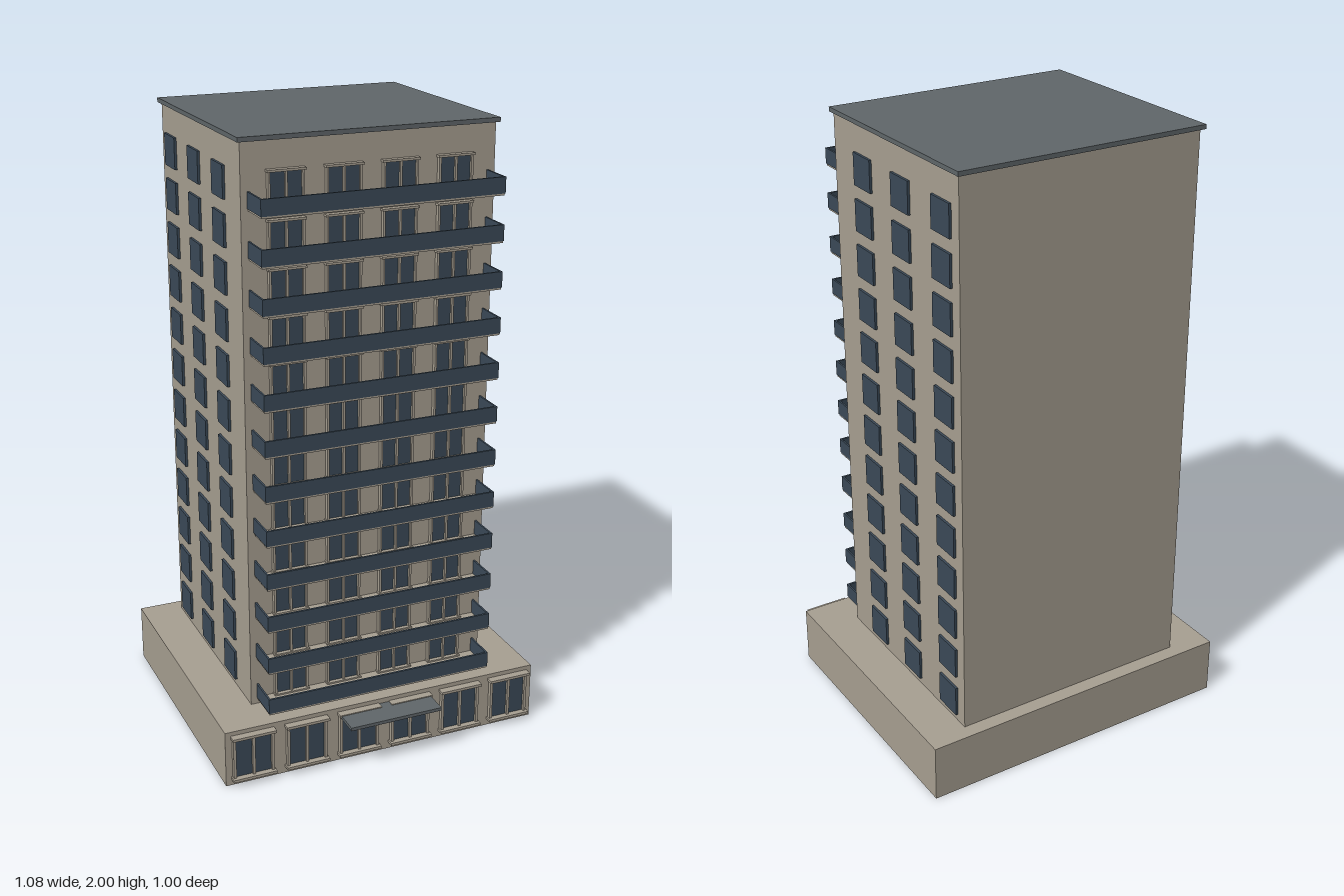
import * as THREE from 'three';

const wall = new THREE.MeshStandardMaterial({ name: 'beige wall', color: 0xa8a092 });
const roofGrey = new THREE.MeshStandardMaterial({ name: 'roof grey', color: 0x60676a });
const glass = new THREE.MeshStandardMaterial({ name: 'dark blue glass', color: 0x3b4a58 });

// Box given by its limits on each axis
function block(parent, name, mat, [x0, x1], [y0, y1], [z0, z1]) {
  const mesh = new THREE.Mesh(new THREE.BoxGeometry(x1 - x0, y1 - y0, z1 - z0), mat);
  mesh.position.set((x0 + x1) / 2, (y0 + y1) / 2, (z0 + z1) / 2);
  mesh.name = name;
  parent.add(mesh);
  return mesh;
}

// Two-pane window facing +z: glass, jambs, mullion, cap and sill
function framedWindow(name, w, h, bar, depth, ledge) {
  const g = new THREE.Group();
  g.name = name;
  const a = w / 2, in_ = a - bar;
  block(g, 'pane', glass, [-in_, in_], [bar, h - bar], [0, depth * 0.4]);
  for (const [n, x] of [['rightJamb', -in_], ['mullion', 0], ['leftJamb', in_]])
    block(g, n, wall, [x - bar / 2, x + bar / 2], [bar, h - bar], [0, depth]);
  block(g, 'sill', wall, [-a, a], [0, bar], [0, ledge]);
  block(g, 'cap', wall, [-a, a], [h - bar, h], [0, ledge]);
  return g;
}

// Balcony: slab with a solid dark parapet on three sides
function balcony() {
  const g = new THREE.Group();
  g.name = 'balcony';
  const x = 0.385, t = 0.006;
  block(g, 'slab', wall, [-x + 0.002, x - 0.002], [0, 0.008], [0.26, 0.378]);
  block(g, 'frontParapet', glass, [-x, x], [0.006, 0.056], [0.373, 0.38]);
  block(g, 'rightParapet', glass, [-x, -x + t], [0.006, 0.056], [0.27, 0.373]);
  block(g, 'leftParapet', glass, [x - t, x], [0.006, 0.056], [0.27, 0.373]);
  return g;
}

export function createModel() {
  const model = new THREE.Group();
  model.name = 'apartmentTower';

  // Main masses
  block(model, 'podium', wall, [-0.54, 0.54], [0, 0.19], [-0.5, 0.4]);
  block(model, 'tower', wall, [-0.405, 0.405], [0.19, 1.986], [-0.452, 0.27]);
  block(model, 'roof', roofGrey, [-0.415, 0.415], [1.986, 2], [-0.466, 0.28]);

  // Podium windows and entrance canopy
  for (let i = 0; i < 6; i++) {
    const win = framedWindow('groundWindow', 0.145, 0.155, 0.009, 0.014, 0.025);
    win.position.set((i - 2.5) * 0.18, 0.021, 0.4);
    model.add(win);
  }
  block(model, 'canopy', roofGrey, [-0.157, 0.157], [0.162, 0.173], [0.4, 0.5]);

  // Twelve repeating floors
  for (let f = 0; f < 12; f++) {
    const floor = new THREE.Group();
    floor.name = 'floor' + (f + 1);
    floor.position.y = 0.205 + f * 0.1439;
    floor.add(balcony());
    for (let i = 0; i < 4; i++) {
      const win = framedWindow('frontWindow', 0.12, 0.109, 0.007, 0.014, 0.019);
      win.position.set((i - 1.5) * 0.18, 0.006, 0.27);
      floor.add(win);
    }
    for (const z of [0.09, -0.135, -0.362]) {
      block(floor, 'leftWindow', glass, [0.404, 0.413], [0.008, 0.109], [z - 0.05, z + 0.05]);
      block(floor, 'rightWindow', glass, [-0.413, -0.404], [0.008, 0.109], [z - 0.05, z + 0.05]);
    }
    model.add(floor);
  }
  return model;
}
